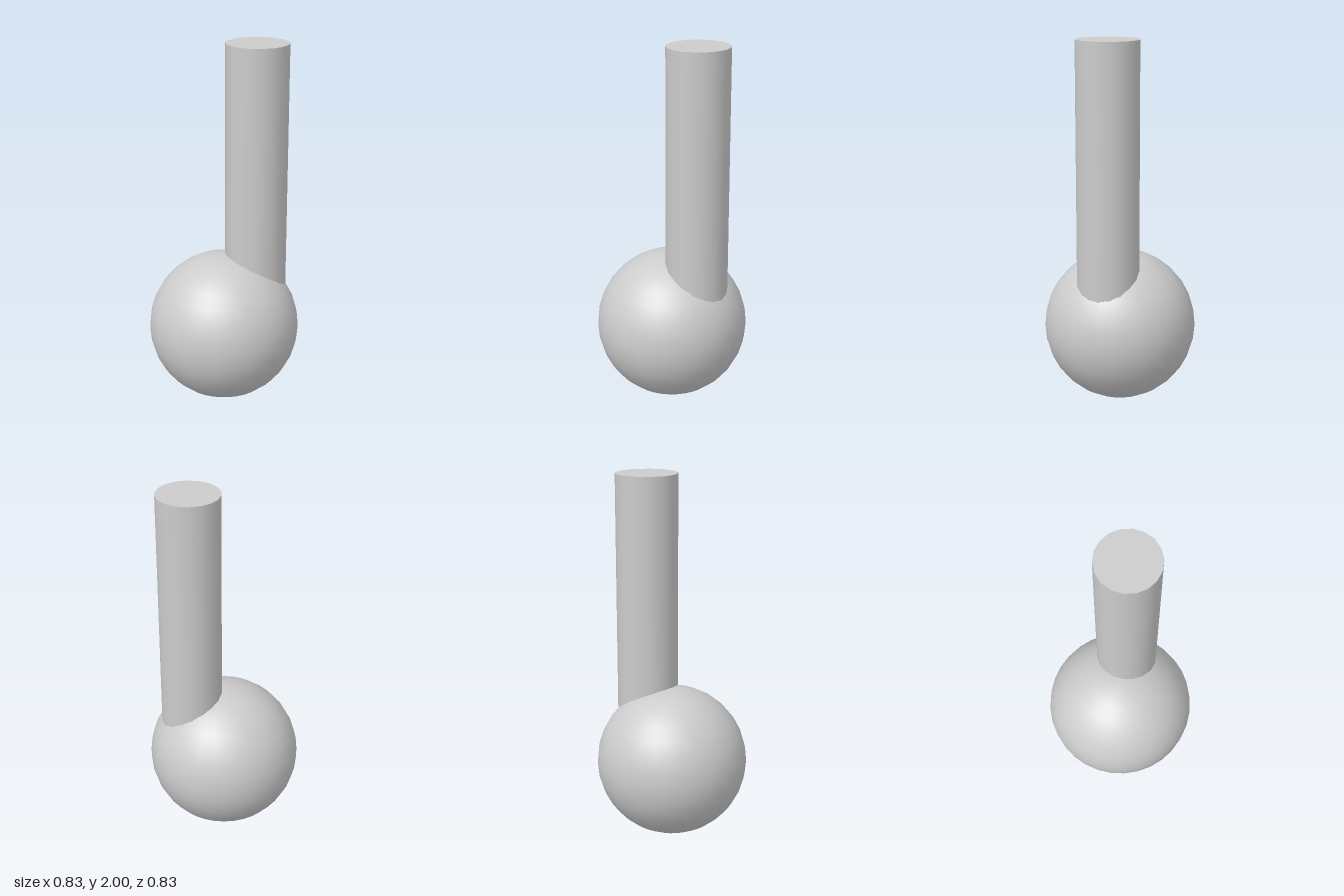
import * as THREE from 'three';

export function createModel() {
  const group = new THREE.Group();
  const material = new THREE.MeshStandardMaterial({ color: 0xcccccc });

  // Round body resting on the ground
  const radius = 0.417;
  const ball = new THREE.Mesh(new THREE.SphereGeometry(radius, 32, 16), material);
  ball.name = 'ball';
  ball.position.y = radius;
  group.add(ball);

  // Off-centre post, sunk into the ball, with a corner facing +x
  const bottom = 0.5, top = 2;
  const post = new THREE.Mesh(
    new THREE.CylinderGeometry(0.169, 0.169, top - bottom, 18),
    material
  );
  post.name = 'post';
  post.rotation.y = Math.PI / 2;
  post.position.set(0.18, (top + bottom) / 2, 0.014);
  group.add(post);

  return group;
}
